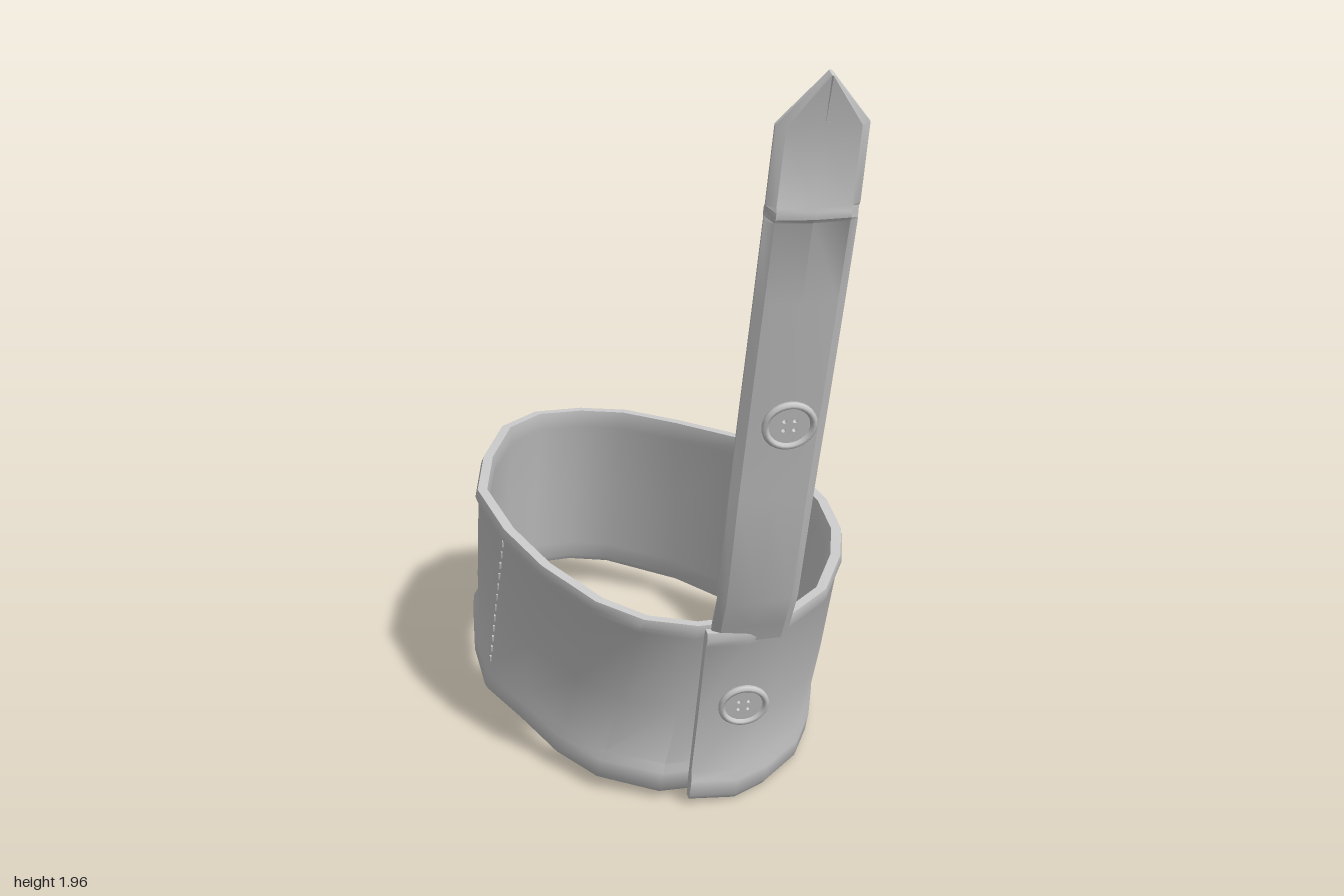
import * as THREE from 'three';
import { toCreasedNormals } from 'three/addons/utils/BufferGeometryUtils.js';

const grey = new THREE.MeshStandardMaterial({ color: 0xcccccc });
const LEAN = 0.29; // forward tilt of the cuff front and the strap

function mesh(name, geometry, parent) {
  const m = new THREE.Mesh(geometry, grey);
  m.name = name;
  parent.add(m);
  return m;
}

// Skin a row of closed cross-sections and cap both ends
function loft(rows, crease) {
  const n = rows.length, m = rows[0].length, index = [];
  const quad = (a, b, c, d) => index.push(a, b, c, a, c, d);
  for (let i = 0; i < n - 1; i++) {
    for (let j = 0; j < m; j++) {
      const k = (j + 1) % m;
      quad(i * m + j, (i + 1) * m + j, (i + 1) * m + k, i * m + k);
    }
  }
  const e = (n - 1) * m;
  for (let j = 0; j < m / 2 - 1; j++) {
    quad(j, j + 1, m - 2 - j, m - 1 - j);
    quad(e + m - 1 - j, e + m - 2 - j, e + j + 1, e + j);
  }
  const g = new THREE.BufferGeometry();
  g.setAttribute('position', new THREE.Float32BufferAttribute(rows.flat(2), 3));
  g.setIndex(index);
  return toCreasedNormals(g, crease);
}

// Outer surface of the cuff: top x, top z, bottom x, bottom z.
// It starts at the outer overlapping end and finishes at the tucked-in end.
const cuffPath = [
  [0.015, 0.555, 0, 0.40], [0.12, 0.555, 0.12, 0.395], [0.21, 0.515, 0.21, 0.33],
  [0.35, 0.385, 0.31, 0.22], [0.43, 0.22, 0.37, 0.09], [0.466, 0.08, 0.415, -0.06],
  [0.47, -0.085, 0.435, -0.24], [0.43, -0.31, 0.435, -0.42], [0.39, -0.44, 0.41, -0.56],
  [0.34, -0.545, 0.34, -0.72], [0.175, -0.69, 0.206, -0.86], [0.03, -0.80, 0, -0.98],
  [-0.105, -0.835, -0.127, -0.995], [-0.245, -0.815, -0.27, -0.958],
  [-0.355, -0.70, -0.376, -0.836], [-0.43, -0.47, -0.455, -0.63],
  [-0.466, -0.245, -0.47, -0.39], [-0.418, 0, -0.46, -0.19], [-0.344, 0.2, -0.385, -0.03],
  [-0.233, 0.385, -0.31, 0.15], [-0.127, 0.48, -0.22, 0.28], [0, 0.52, -0.07, 0.36],
  [0.165, 0.505, 0.15, 0.325],
];

// Cuff section: height fraction, outward offset (hem at the bottom, lip at the top)
const cuffSection = [
  [0, -0.006], [0.03, 0.004], [0.12, 0.004], [0.17, -0.008], [0.5, -0.004], [0.92, -0.006], [0.96, 0.002], [1, -0.004],
  [1, -0.03], [0.95, -0.036], [0.9, -0.035], [0.5, -0.035], [0.17, -0.036], [0.12, -0.036], [0.03, -0.036], [0, -0.03],
];

function cuffPoint(i, t, offset) {
  const [tx, tz, bx, bz] = cuffPath[i];
  const top = 0.608 - 0.02 * tx - 0.08 * tz - 0.05 * tz * tz;
  const bottom = Math.max(0, 0.022 - 0.075 * bx - 0.035 * bz + 0.03 * bz * bz);
  const a = cuffPath[Math.max(i - 1, 0)], b = cuffPath[Math.min(i + 1, cuffPath.length - 1)];
  const dx = b[0] - a[0], dz = b[1] - a[1], l = Math.hypot(dx, dz);
  return [
    bx + (tx - bx) * t - dz / l * offset,
    bottom + (top - bottom) * t,
    bz + (tz - bz) * t + dx / l * offset,
  ];
}

function strapGeometry() {
  // Height, depth, half width, seam swelling
  const rows = [
    [0.52, 0.525, 0.094, 0], [0.57, 0.55, 0.096, 0], [0.65, 0.595, 0.097, 0],
    [0.95, 0.678, 0.099, 0], [1.2, 0.757, 0.1, 0], [1.45, 0.835, 0.1, 0],
    [1.64, 0.892, 0.1, 0], [1.65, 0.895, 0.1, 0.005], [1.665, 0.899, 0.1, 0.005],
    [1.675, 0.902, 0.1, 0], [1.85, 0.945, 0.098, 0], [1.96, 0.99, 0.003, 0],
  ];
  // Fraction of half width, depth: raised middle with a thin border
  const section = [
    [1, -0.003], [0.8, 0.011], [0, 0.015], [-0.8, 0.011], [-1, -0.003],
    [-1, -0.01], [-0.8, -0.014], [0, -0.014], [0.8, -0.014], [1, -0.01],
  ];
  return loft(rows.map(([y, z, w, swell]) => section.map(([s, d]) => {
    const depth = d + Math.sign(d) * swell;
    return [0.123 + 0.032 * (y - 0.55) + s * w, y - Math.sin(LEAN) * depth, z + Math.cos(LEAN) * depth];
  })), 0.45);
}

// Round four-hole button facing local +z
function button(name, x, y, z) {
  const group = new THREE.Group();
  group.name = name;
  const rim = [[0.03, -0.006], [0.052, 0], [0.062, 0.009], [0.063, 0.017], [0.058, 0.023], [0.051, 0.022], [0.046, 0.014]];
  const ring = new THREE.LatheGeometry(rim.map(p => new THREE.Vector2(...p)), 28);
  mesh(name + 'Rim', ring, group).rotation.x = Math.PI / 2;

  const disc = new THREE.Shape().absarc(0, 0, 0.048, 0, Math.PI * 2);
  for (const sx of [-1, 1]) for (const sy of [-1, 1]) {
    disc.holes.push(new THREE.Path().absarc(sx * 0.012, sy * 0.012, 0.005, 0, Math.PI * 2, true));
  }
  const face = new THREE.ExtrudeGeometry(disc, { depth: 0.013, bevelEnabled: false, curveSegments: 14 });
  mesh(name + 'Face', face, group).position.z = 0.002;
  group.position.set(x, y, z);
  group.rotation.x = LEAN;
  return group;
}

export function createModel() {
  const model = new THREE.Group();
  model.name = 'buttonedCuff';

  // Wrapped cuff band
  const rows = cuffPath.map((_, i) => cuffSection.map(([t, o]) => cuffPoint(i, t, o)));
  mesh('cuff', loft(rows, 0.75), model);

  // Line of side stitches
  const stitches = new THREE.Group();
  stitches.name = 'sideStitches';
  for (let k = 0; k < 12; k++) {
    const s = mesh('stitch', new THREE.BoxGeometry(0.005, 0.02, 0.005), stitches);
    s.position.set(...cuffPoint(17, 0.2 + k * 0.065, -0.004));
    s.rotation.x = 0.33;
  }
  model.add(stitches);

  // Upright pointed strap
  mesh('strap', strapGeometry(), model);

  // Buttons, with a small fastening stud behind the strap
  model.add(button('cuffButton', 0.115, 0.33, 0.493));
  model.add(button('strapButton', 0.15, 1.15, 0.759));
  const stud = mesh('strapStud', new THREE.SphereGeometry(0.03, 16, 10), model);
  stud.position.set(0.15, 1.155, 0.73);
  stud.rotation.x = LEAN;
  stud.scale.z = 0.4;

  return model;
}
